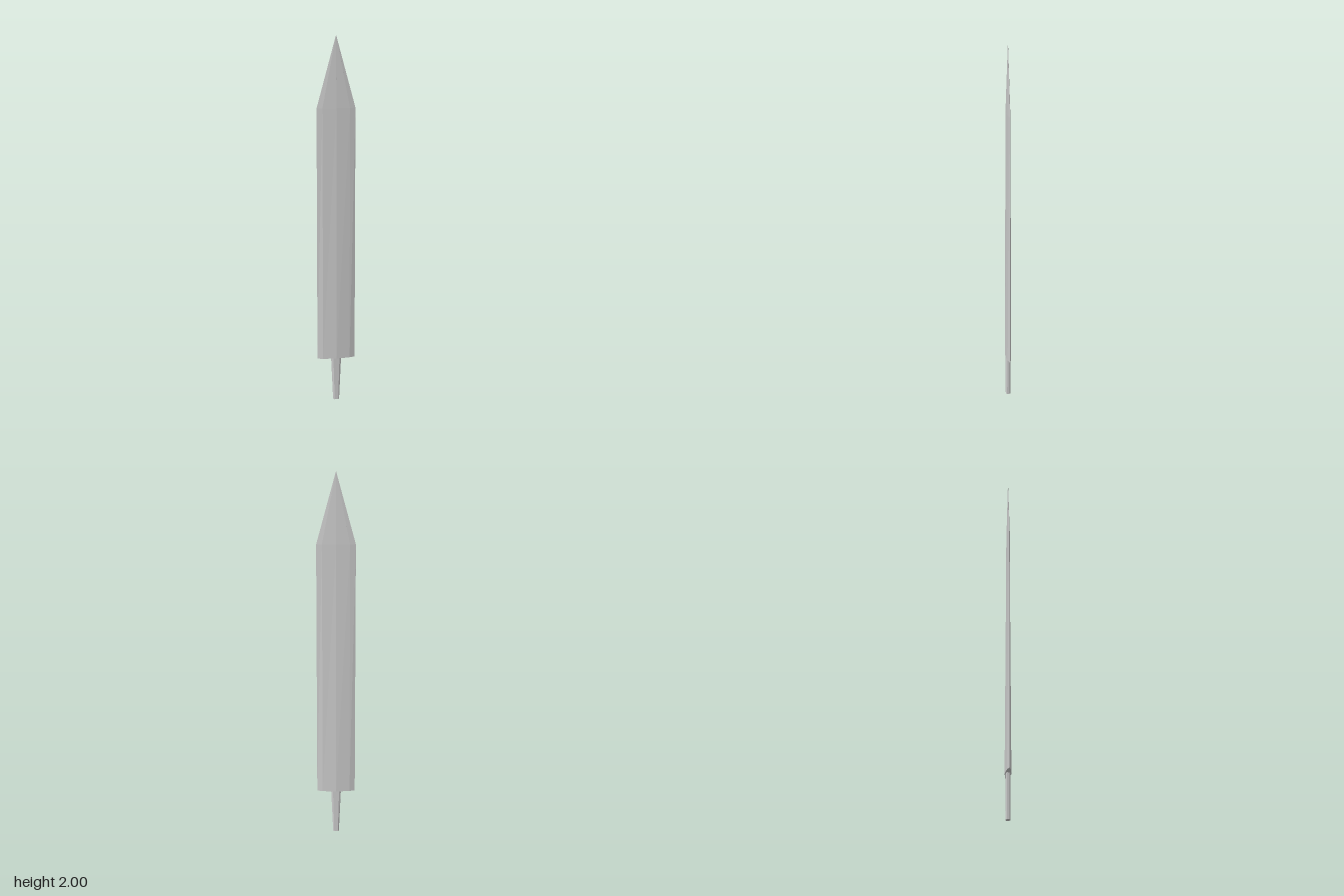
import * as THREE from 'three';

const material = new THREE.MeshStandardMaterial({ color: 0xcccccc, flatShading: true });

// Skin a stack of cross-sections (bottom to top) and cap both ends.
// Each section is { y, ring }, ring points are [x, z] running from +x towards -z.
function loft(name, sections) {
  const pos = [];
  const index = [];
  const n = sections[0].ring.length;
  for (const { y, ring } of sections) for (const [x, z] of ring) pos.push(x, y, z);
  for (let s = 0; s < sections.length - 1; s++) {
    for (let i = 0; i < n; i++) {
      const a = s * n + i;
      const b = s * n + (i + 1) % n;
      index.push(a, b, b + n, a, b + n, a + n);
    }
  }
  const last = (sections.length - 1) * n;
  for (let i = 1; i < n - 1; i++) {
    index.push(0, i + 1, i);
    index.push(last, last + i, last + i + 1);
  }
  const indexed = new THREE.BufferGeometry();
  indexed.setAttribute('position', new THREE.Float32BufferAttribute(pos, 3));
  indexed.setIndex(index);
  const geometry = indexed.toNonIndexed();
  geometry.computeVertexNormals();
  const mesh = new THREE.Mesh(geometry, material);
  mesh.name = name;
  return mesh;
}

// Blade section: sharp edges, a bevel on each side and a central ridge.
function bladeSection(y, halfWidth, ridge) {
  const w = halfWidth;
  const bx = w * 0.71;
  const bz = ridge * 0.56;
  return {
    y,
    ring: [[w, 0], [bx, -bz], [0, -ridge], [-bx, -bz], [-w, 0], [-bx, bz], [0, ridge], [bx, bz]],
  };
}

// Tang section: a bar with chamfered corners.
function tangSection(y, w, d) {
  const cx = w * 0.62;
  const cz = d * 0.5;
  return {
    y,
    ring: [[w, cz], [w, -cz], [cx, -d], [-cx, -d], [-w, -cz], [-w, cz], [-cx, d], [cx, d]],
  };
}

export function createModel() {
  const group = new THREE.Group();
  group.name = 'swordBlade';

  // Long blade, thinning towards the shoulder and then running to a point
  group.add(loft('blade', [
    bladeSection(0.24, 0.104, 0.0175),
    bladeSection(1.62, 0.104, 0.009),
    bladeSection(2.0, 0.0002, 0.0001),
  ]));

  // Tapered tang below the blade
  group.add(loft('tang', [
    tangSection(0, 0.016, 0.012),
    tangSection(0.242, 0.027, 0.012),
  ]));

  return group;
}
